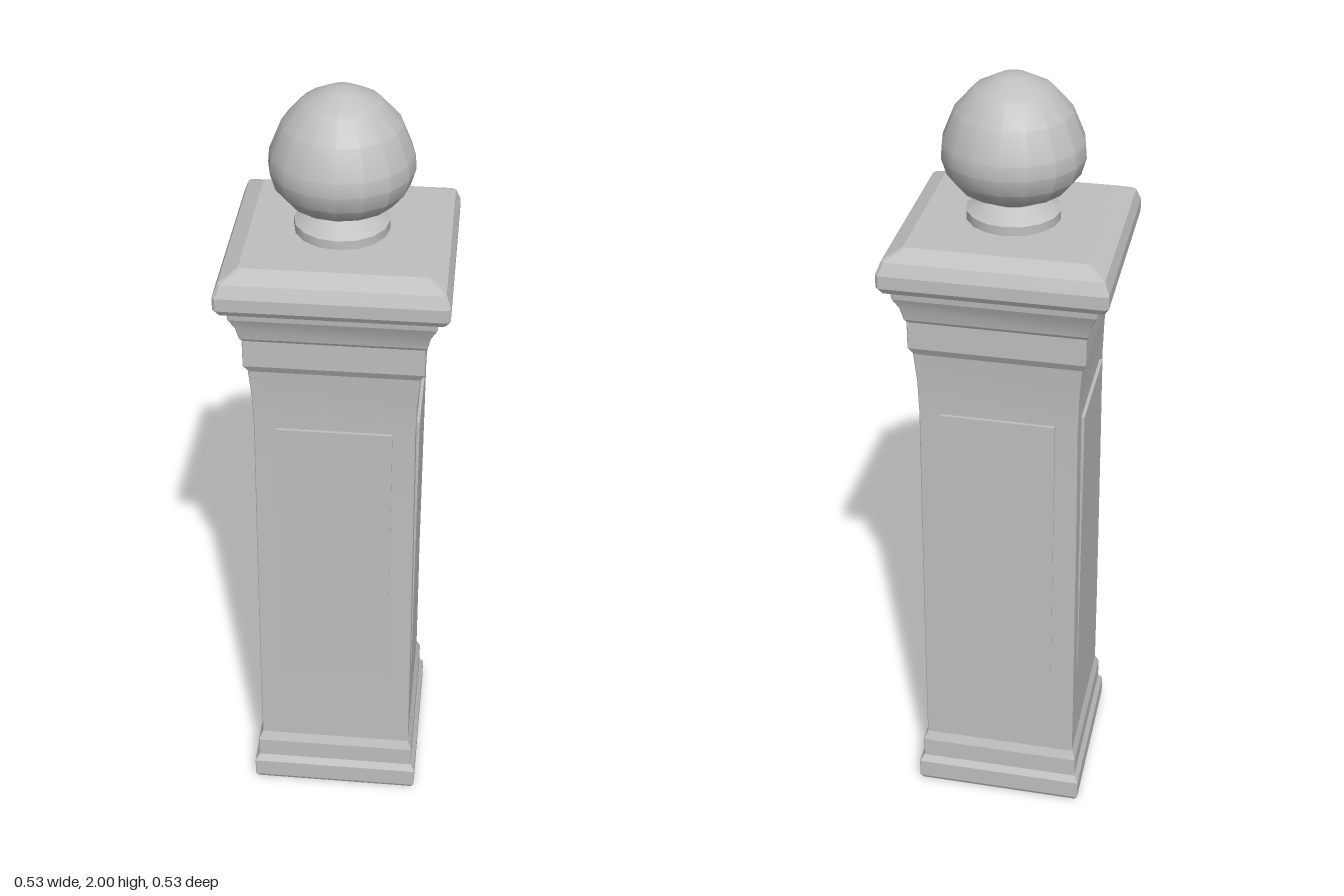
import * as THREE from 'three';
import { toCreasedNormals } from 'three/addons/utils/BufferGeometryUtils.js';

const stone = new THREE.MeshStandardMaterial({ color: 0xbfbfbf });
stone.name = 'grey stone';

// Square section with slightly chamfered corners, swept up a [half width, height] profile
function squareLoft(profile, chamfer) {
  const pos = [];
  const index = [];
  for (const [w, y] of profile) {
    const c = w - chamfer;
    const ring = [[w, -c], [w, c], [c, w], [-c, w], [-w, c], [-w, -c], [-c, -w], [c, -w]];
    for (const [x, z] of ring) pos.push(x, y, z);
  }
  const last = (profile.length - 1) * 8;
  for (let r = 0; r < last; r += 8) {
    for (let k = 0; k < 8; k++) {
      const n = (k + 1) % 8;
      index.push(r + k, r + 8 + k, r + 8 + n, r + k, r + 8 + n, r + n);
    }
  }
  for (let k = 1; k < 7; k++) {
    index.push(0, k, k + 1, last, last + k + 1, last + k);
  }
  const geo = new THREE.BufferGeometry();
  geo.setAttribute('position', new THREE.Float32BufferAttribute(pos, 3));
  geo.setIndex(index);
  return toCreasedNormals(geo, 0.25);
}

// Round part turned on 16 sides
function turned(profile, crease) {
  const points = profile.map(([r, y]) => new THREE.Vector2(r, y));
  return toCreasedNormals(new THREE.LatheGeometry(points, 16, Math.PI / 2), crease);
}

export function createModel() {
  const model = new THREE.Group();
  model.name = 'gatePost';
  const add = (name, geo) => {
    const mesh = new THREE.Mesh(geo, stone);
    mesh.name = name;
    model.add(mesh);
    return mesh;
  };

  // Stepped plinth
  add('plinth', squareLoft([
    [0.217, 0], [0.223, 0.012], [0.223, 0.065], [0.212, 0.083], [0.212, 0.14], [0.202, 0.165],
  ], 0.002));

  // Shaft, tapering gently and flaring out under the collar
  add('shaft', squareLoft([
    [0.202, 0.16], [0.201, 0.4], [0.197, 0.9], [0.194, 1.2], [0.196, 1.29], [0.202, 1.37],
  ], 0.002));

  // Collar and moulding below the cap
  add('collar', squareLoft([
    [0.202, 1.37], [0.212, 1.39], [0.212, 1.46], [0.217, 1.468], [0.224, 1.50], [0.238, 1.53], [0.241, 1.56],
  ], 0.002));

  // Overhanging cap
  add('cap', squareLoft([
    [0.24, 1.545], [0.258, 1.555], [0.267, 1.57], [0.267, 1.602], [0.255, 1.632], [0.213, 1.653],
  ], 0.007));

  // Raised panel on each of the four faces
  for (let i = 0; i < 4; i++) {
    const geo = new THREE.BoxGeometry(0.28, 0.8, 0.009);
    geo.translate(0, 0.805, 0.1975);
    add('panel' + (i + 1), geo).rotation.y = i * Math.PI / 2;
  }

  // Round foot of the finial
  add('finialFoot', turned([
    [0, 1.645], [0.112, 1.645], [0.112, 1.675], [0.068, 1.703], [0.068, 1.725], [0, 1.725],
  ], 0.45));

  // Pointed ball finial
  add('finialBall', turned([
    [0, 1.705], [0.075, 1.708], [0.128, 1.735], [0.157, 1.77], [0.169, 1.81], [0.166, 1.845],
    [0.137, 1.915], [0.092, 1.965], [0.036, 1.994], [0, 2],
  ], 0.41));

  return model;
}
